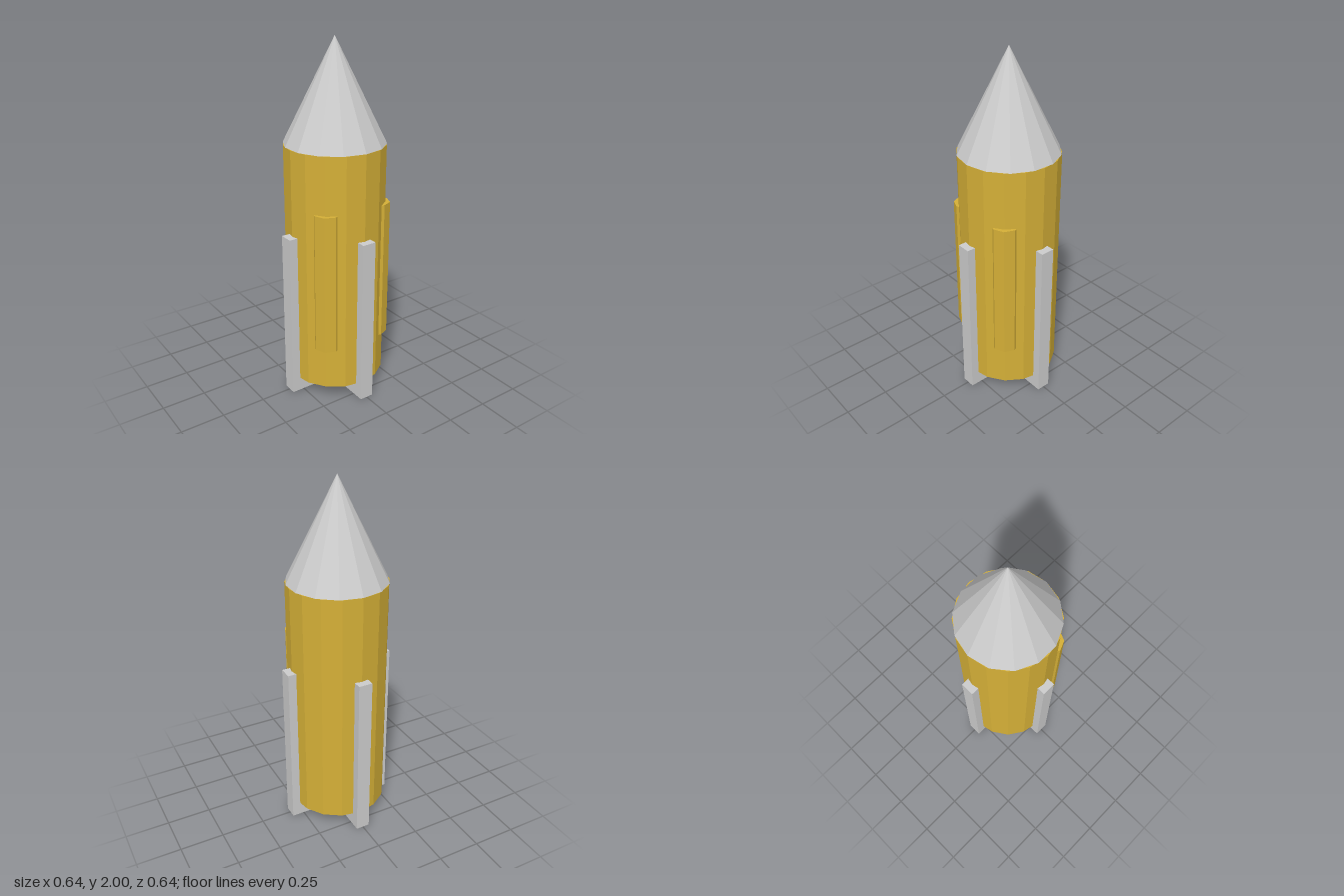
import * as THREE from 'three';

export function createModel() {
  const group = new THREE.Group();
  const gold = new THREE.MeshStandardMaterial({ color: 0xd4af37, flatShading: true });
  const grey = new THREE.MeshStandardMaterial({ color: 0xcccccc, flatShading: true });

  const add = (name, geometry, material, x, y, z) => {
    const mesh = new THREE.Mesh(geometry, material);
    mesh.name = name;
    mesh.position.set(x, y, z);
    group.add(mesh);
  };

  // Sixteen-sided hull with a fourteen-sided nose
  add('hull', new THREE.CylinderGeometry(0.28, 0.28, 1.36, 16), gold, 0, 0.76, 0);
  add('noseCone', new THREE.ConeGeometry(0.28, 0.56, 14), grey, 0, 1.72, 0);

  // Crossed slabs pass through the hull and form four fins
  add('sideFins', new THREE.BoxGeometry(0.64, 0.96, 0.08), grey, 0, 0.48, 0);
  add('frontBackFins', new THREE.BoxGeometry(0.08, 0.96, 0.64), grey, 0, 0.48, 0);

  // Octagonal tanks half sunk into the front of the hull
  for (const [name, side] of [['leftTank', 1], ['rightTank', -1]]) {
    add(name, new THREE.CylinderGeometry(0.08, 0.08, 0.8, 8), gold, side * 0.16, 0.72, 0.16);
  }

  return group;
}
